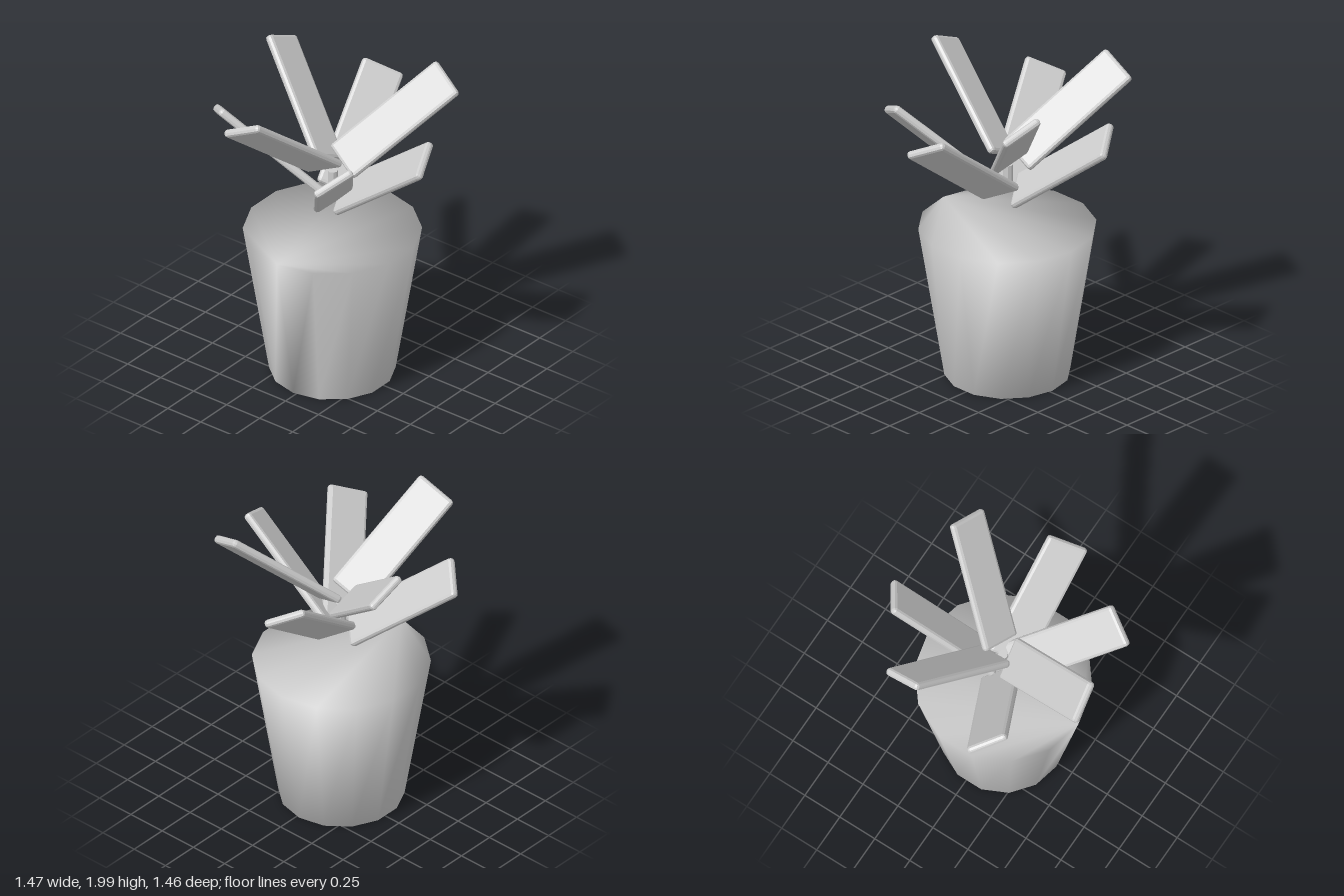
import * as THREE from 'three';
import { RoundedBoxGeometry } from 'three/addons/geometries/RoundedBoxGeometry.js';

const SIDES = 14;

// Closed tapered pot whose walls and caps share vertices, for soft shading
function potGeometry(rBottom, rTop, height) {
  const positions = [], index = [];
  for (const [r, y] of [[rBottom, 0], [rTop, height]]) {
    for (let i = 0; i < SIDES; i++) {
      const a = (i / SIDES) * Math.PI * 2;
      positions.push(r * Math.sin(a), y, r * Math.cos(a));
    }
  }
  for (let i = 0; i < SIDES; i++) {
    const j = (i + 1) % SIDES;
    index.push(i, j, SIDES + j, i, SIDES + j, SIDES + i);
  }
  for (let i = 1; i < SIDES - 1; i++) {
    index.push(0, i + 1, i);
    index.push(SIDES, SIDES + i, SIDES + i + 1);
  }
  const g = new THREE.BufferGeometry();
  g.setAttribute('position', new THREE.Float32BufferAttribute(positions, 3));
  g.setIndex(index);
  g.computeVertexNormals();
  return g;
}

export function createModel() {
  const model = new THREE.Group();
  model.name = 'pottedPlant';
  const grey = new THREE.MeshStandardMaterial({ color: 0xcccccc });
  grey.name = 'plainGrey';

  const pot = new THREE.Mesh(potGeometry(0.378, 0.535, 0.975), grey);
  pot.name = 'pot';
  pot.position.set(-0.02, 0, 0.022);
  model.add(pot);

  // Seven bevelled slab leaves, alternating between a low and a high ring
  const leafGeometry = new RoundedBoxGeometry(0.825, 0.05, 0.265, 1, 0.02);
  leafGeometry.computeVertexNormals(); // flat facets
  const leaves = new THREE.Group();
  leaves.name = 'leaves';
  leaves.position.set(-0.02, 0, 0.018);
  for (let i = 0; i < 7; i++) {
    const pivot = new THREE.Group();
    pivot.name = 'leafPivot' + (i + 1);
    pivot.rotation.y = (i / 7) * Math.PI * 2;
    const leaf = new THREE.Mesh(leafGeometry, grey);
    leaf.name = 'leaf' + (i + 1);
    leaf.position.set(0.381, i % 2 ? 1.675 : 1.462, 0);
    leaf.rotation.set(
      THREE.MathUtils.degToRad(32), 0, THREE.MathUtils.degToRad(37.8), 'ZYX'
    );
    pivot.add(leaf);
    leaves.add(pivot);
  }
  model.add(leaves);

  // Small core where the leaves meet
  const coreGeometry = new THREE.CylinderGeometry(0.03, 0.03, 0.15, 8).toNonIndexed();
  coreGeometry.computeVertexNormals();
  const core = new THREE.Mesh(coreGeometry, grey);
  core.name = 'stemCore';
  core.position.set(-0.02, 1.3, 0.018);
  model.add(core);

  return model;
}
